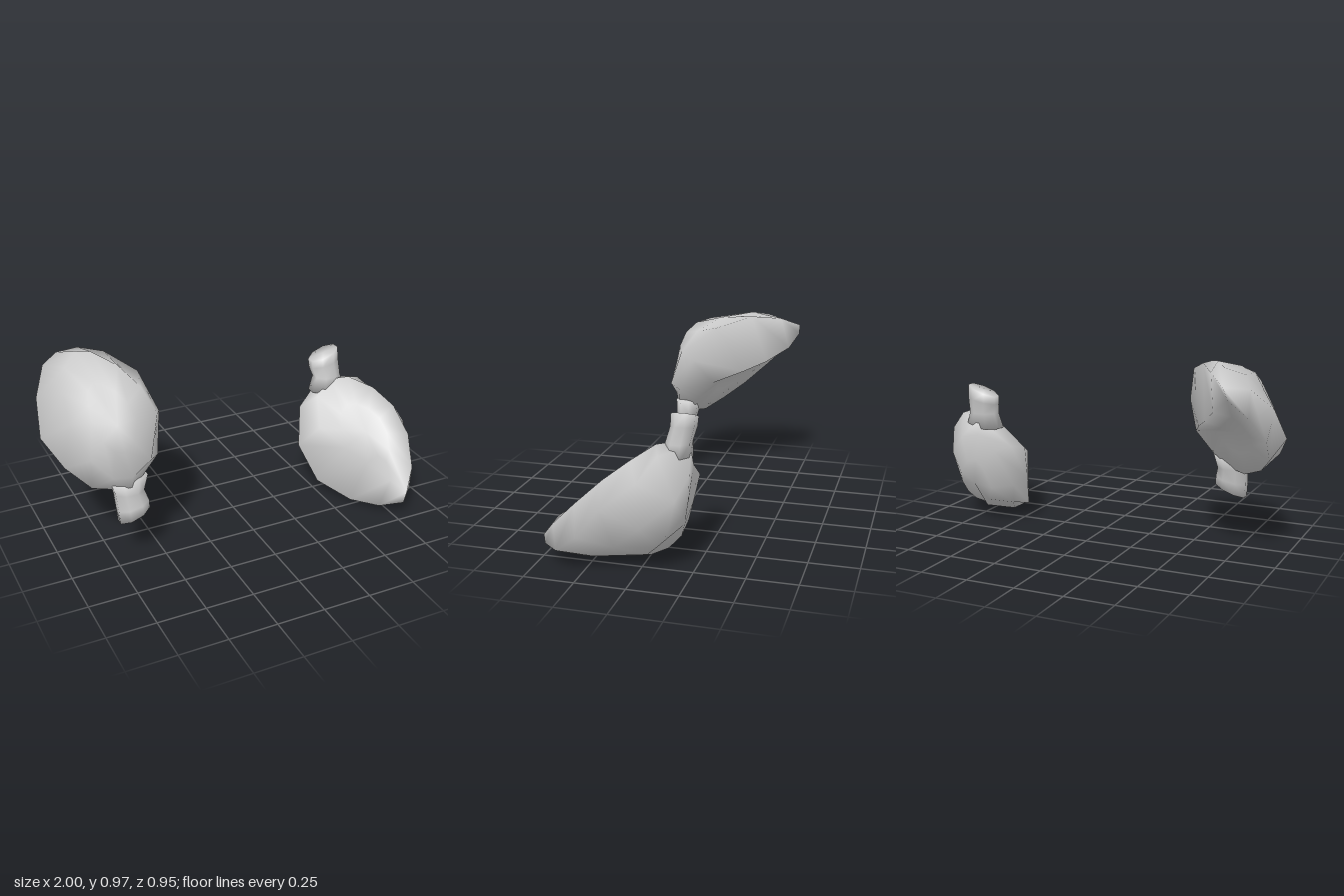
import * as THREE from 'three';
import { mergeVertices } from 'three/addons/utils/BufferGeometryUtils.js';

const HEIGHT = 0.976;
const V = (x, y, z) => new THREE.Vector3(x, y, z);
const toRing = (a) => a.map((p) => V(...p));

// Skins a list of equal rings; a ring of identical points closes an end.
function loft(rings, inverted) {
  const n = rings[0].length, pos = [], index = [];
  rings.flat().forEach((p) => {
    if (inverted) pos.push(-p.x, HEIGHT - p.y, -p.z);
    else pos.push(p.x, p.y, p.z);
  });
  const tri = (a, b, c) => index.push(...(inverted ? [a, c, b] : [a, b, c]));
  for (let i = 0; i < rings.length - 1; i++) {
    for (let k = 0; k < n; k++) {
      const a = i * n + k, b = i * n + (k + 1) % n;
      if (i < rings.length - 2) tri(a, b + n, a + n);
      if (i > 0) tri(a, b, b + n);
      if (i === rings.length - 2) tri(a, b, a + n);
    }
  }
  const g = new THREE.BufferGeometry();
  g.setAttribute('position', new THREE.Float32BufferAttribute(pos, 3));
  g.setIndex(index);
  const merged = mergeVertices(g, 1e-5);
  merged.computeVertexNormals();
  return merged;
}

// Shell loops start at the stem, run down the +x side to the tip and back.
const rim = toRing([
  [0.65, 0.60, -0.11], [0.74, 0.615, -0.07], [0.85, 0.565, 0.02], [0.92, 0.485, 0.13],
  [0.94, 0.365, 0.26], [0.89, 0.235, 0.39], [0.81, 0.14, 0.47], [0.73, 0.21, 0.425],
  [0.65, 0.28, 0.31], [0.58, 0.33, 0.19], [0.51, 0.39, 0.03], [0.56, 0.52, -0.09]]);
const belt = toRing([
  [0.65, 0.58, -0.21], [0.82, 0.585, -0.10], [0.93, 0.48, -0.03], [1.0, 0.37, 0.12],
  [0.97, 0.21, 0.25], [0.89, 0.10, 0.38], [0.79, 0.085, 0.475], [0.70, 0.035, 0.38],
  [0.61, 0.015, 0.23], [0.50, 0.07, 0.05], [0.44, 0.25, -0.07], [0.49, 0.44, -0.16]]);
const back = toRing([
  [0.65, 0.50, -0.225], [0.75, 0.48, -0.23], [0.84, 0.38, -0.185], [0.89, 0.25, -0.03],
  [0.87, 0.14, 0.10], [0.82, 0.06, 0.22], [0.74, 0.02, 0.30], [0.68, 0.002, 0.22],
  [0.60, 0.025, 0.06], [0.53, 0.10, -0.07], [0.48, 0.22, -0.15], [0.55, 0.42, -0.23]]);

function shellRings() {
  const outward = V(0.35, -0.69, -0.64);
  const dish = V(0.75, 0.36, 0.13), pole = V(0.70, 0.22, -0.195);
  // hollow front face
  const face = rim.map((p) => p.clone().lerp(dish, 0.5));
  // rounded back, fuller towards the tip
  const dome = back.map((p, k) => p.clone().lerp(pole, 0.5)
    .addScaledVector(outward, 0.045 - 0.04 * Math.cos(k * Math.PI / 6)));
  return [rim.map(() => dish), face, rim, belt, back, dome, rim.map(() => pole)];
}

function stemRings() {
  // centre x, y, z, radius x, radius z, slant of the cut; top to bottom
  const sections = [
    [0.637, 0.735, -0.178, 0, 0, 0],
    [0.637, 0.735, -0.178, 0.08, 0.06, 0.38],
    [0.64, 0.68, -0.175, 0.082, 0.058, 0.2],
    [0.65, 0.61, -0.155, 0.076, 0.06, 0],
    [0.65, 0.53, -0.15, 0.1, 0.065, 0],
    [0.65, 0.50, -0.15, 0, 0, 0]];
  return sections.map(([x, y, z, rx, rz, slant]) =>
    Array.from({ length: 8 }, (_, k) => {
      const a = (k + 0.5) * Math.PI / 4, dx = Math.cos(a) * rx * 1.06;
      return V(x + dx, y + dx * slant, z + Math.sin(a) * rz * 1.06);
    }));
}

export function createModel() {
  const model = new THREE.Group();
  const material = new THREE.MeshStandardMaterial({ color: 0xcccccc });
  // the two halves are point reflections of each other
  for (const inverted of [false, true]) {
    const piece = new THREE.Group();
    piece.name = inverted ? 'rightPiece' : 'leftPiece';
    for (const [name, rings] of [['shell', shellRings()], ['stem', stemRings()]]) {
      const mesh = new THREE.Mesh(loft(rings, inverted), material);
      mesh.name = name;
      piece.add(mesh);
    }
    model.add(piece);
  }
  return model;
}
